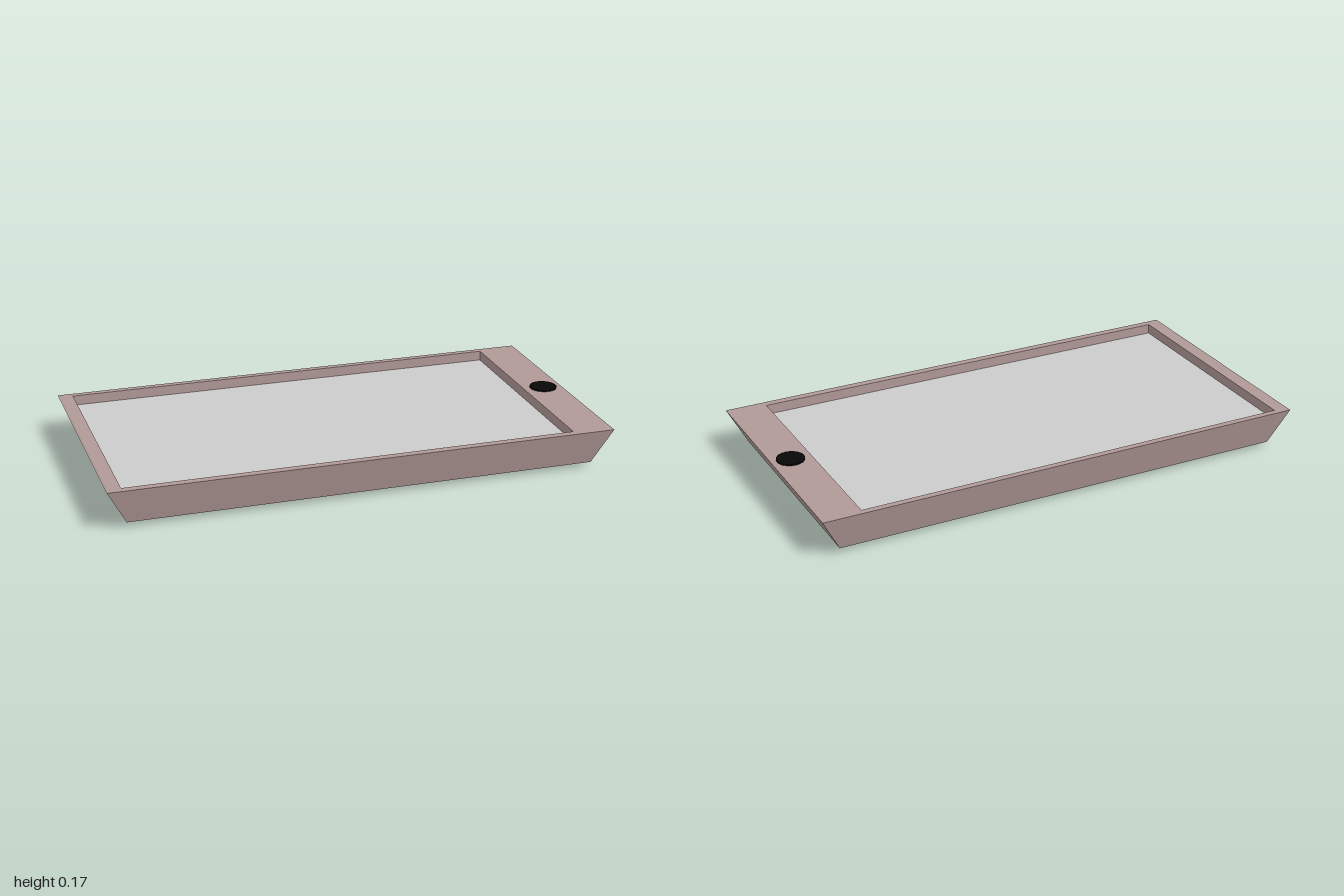
import * as THREE from 'three';

const mat = (color) => new THREE.MeshStandardMaterial({ color, flatShading: true });

// Four corners of a horizontal rectangle, counter-clockwise seen from above
const rect = (x0, x1, z0, z1, y) => [[x0, y, z1], [x1, y, z1], [x1, y, z0], [x0, y, z0]];

// Joins rectangles into a flat-faced skin, closing the first one at the bottom
function loftRects(loops) {
  const pos = [];
  const quad = (a, b, c, d) => pos.push(...a, ...b, ...c, ...a, ...c, ...d);
  const [p, q, r, s] = loops[0];
  quad(s, r, q, p);
  for (let i = 0; i < loops.length - 1; i++) {
    for (let k = 0; k < 4; k++) {
      const n = (k + 1) % 4;
      quad(loops[i][k], loops[i][n], loops[i + 1][n], loops[i + 1][k]);
    }
  }
  const geo = new THREE.BufferGeometry();
  geo.setAttribute('position', new THREE.Float32BufferAttribute(pos, 3));
  geo.computeVertexNormals();
  return geo;
}

export function createModel() {
  const model = new THREE.Group();
  const add = (name, geo, material, x = 0, y = 0, z = 0, parent = model) => {
    const mesh = new THREE.Mesh(geo, material);
    mesh.name = name;
    mesh.position.set(x, y, z);
    parent.add(mesh);
    return mesh;
  };

  const bottomY = 0.02, topY = 0.162, floorY = 0.122;
  const x0 = -0.942, x1 = 0.84, z0 = -0.485, z1 = 0.48;

  // Tapered case with a rim and the walls of the screen recess
  add('case', loftRects([
    rect(-0.925, 0.925, -0.473, 0.473, bottomY),
    rect(-1, 1, -0.511, 0.511, topY),
    rect(x0, x1, z0, z1, topY),
    rect(x0, x1, z0, z1, floorY),
  ]), mat(0xb09997));

  // Screen at the bottom of the recess
  const screen = new THREE.PlaneGeometry(x1 - x0, z1 - z0).rotateX(-Math.PI / 2);
  add('screen', screen, mat(0xcccccc), (x0 + x1) / 2, floorY, (z0 + z1) / 2);

  // Round home button
  add('homeButton', new THREE.CylinderGeometry(0.055, 0.055, 0.008, 20), mat(0x080808), 0.923, 0.164, 0);

  // Three ten-sided camera rings under the case, each with a sunken lens
  const ringProfile = [[0.053, 0.02], [0.053, 0], [0.076, 0], [0.076, 0.02]]
    .map(([r, y]) => new THREE.Vector2(r, y));
  const ringGeo = new THREE.LatheGeometry(ringProfile, 10).rotateY(Math.PI / 2);
  const lensGeo = new THREE.CircleGeometry(0.054, 10).rotateX(Math.PI / 2);
  const ringMat = mat(0x999999), lensMat = mat(0xcccccc);
  ringMat.side = THREE.DoubleSide;
  [-0.835, -0.65, -0.46].forEach((x, i) => {
    const camera = new THREE.Group();
    camera.name = `camera${i + 1}`;
    camera.position.set(x, 0, -0.364);
    add('cameraRing', ringGeo, ringMat, 0, 0, 0, camera);
    add('cameraLens', lensGeo, lensMat, 0, 0.014, 0, camera);
    model.add(camera);
  });

  return model;
}
